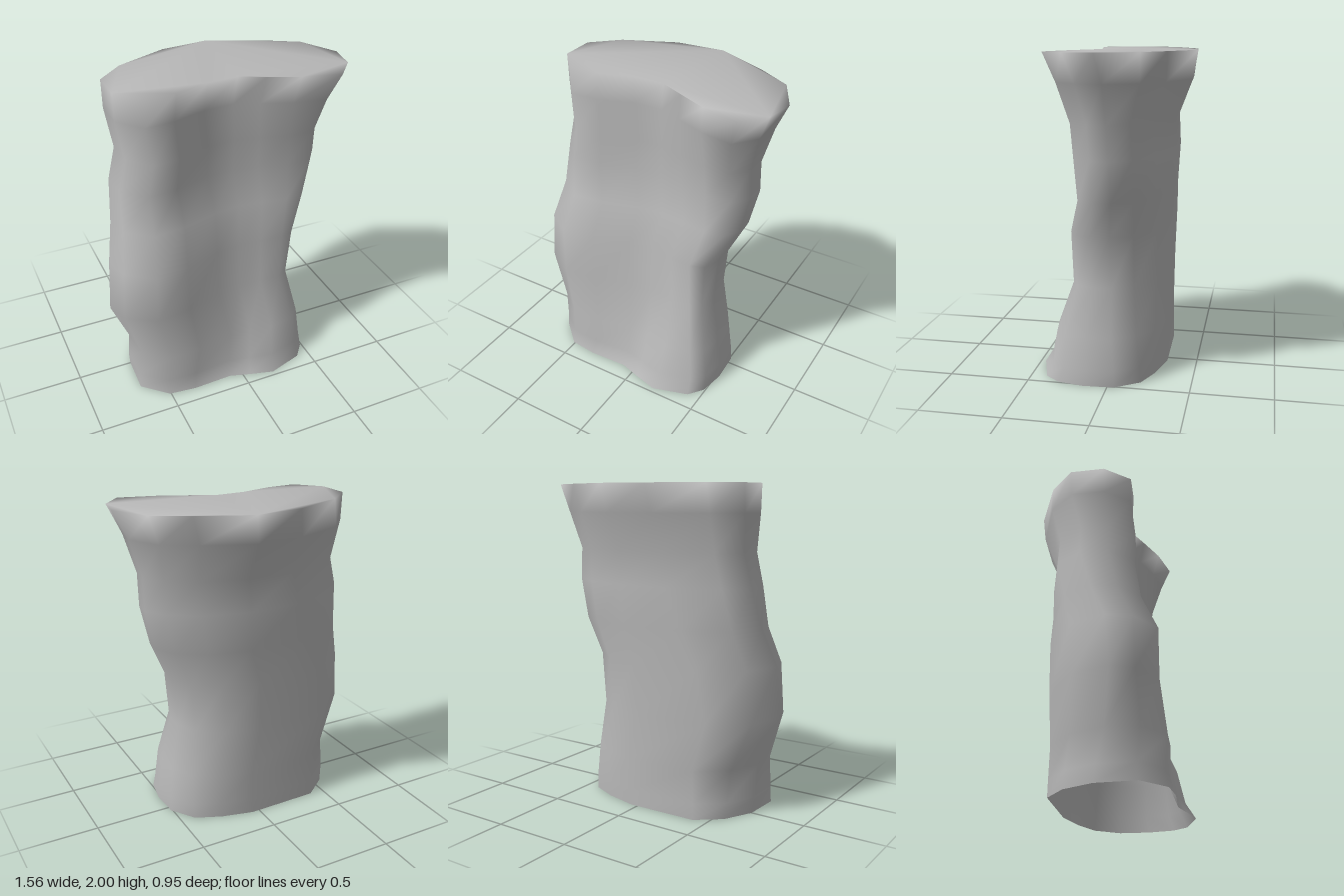
import * as THREE from 'three';

// Kidney-shaped cross-sections [x, z], bottom to top, all with matching corners
const SECTIONS = [
  [[.51, -.04], [.52, .15], [.49, .31], [.42, .4], [.2, .47], [.05, .43], [-.08, .39], [-.33, .4],
    [-.5, .38], [-.65, .24], [-.64, 0], [-.55, -.18], [-.4, -.3], [.05, -.31], [.25, -.26], [.41, -.19]],
  [[.43, -.02], [.43, .1], [.4, .2], [.33, .24], [.2, .23], [.05, .23], [-.1, .25], [-.33, .32],
    [-.55, .35], [-.73, .24], [-.78, .1], [-.7, -.12], [-.48, -.3], [0, -.32], [.22, -.27], [.37, -.15]],
  [[.63, -.03], [.62, .08], [.54, .19], [.38, .19], [.2, .14], [.05, .11], [-.12, .12], [-.33, .19],
    [-.5, .21], [-.62, .07], [-.63, -.1], [-.52, -.25], [-.2, -.34], [.1, -.35], [.38, -.26], [.55, -.15]],
  [[.78, .01], [.75, .19], [.63, .33], [.4, .27], [.22, .19], [.07, .12], [-.12, .13], [-.33, .19],
    [-.52, .2], [-.65, .05], [-.65, -.16], [-.49, -.31], [-.17, -.45], [.13, -.48], [.45, -.34], [.66, -.22]],
];

// Levels: height, position along the sections, x range, z range
const LEVELS = [
  [0, 0, -.66, .52, -.31, .47],
  [.1, .2, -.66, .515, -.31, .41],
  [.3, .5, -.66, .49, -.31, .38],
  [.6, 1, -.78, .43, -.31, .35],
  [.92, 1.2, -.755, .46, -.325, .35],
  [1.15, 1.5, -.7, .57, -.335, .25],
  [1.4, 1.9, -.67, .63, -.355, .215],
  [1.6, 2, -.62, .63, -.35, .22],
  [1.83, 2.6, -.65, .7, -.45, .27],
  [2, 3, -.65, .78, -.48, .33],
];

// Blend two sections and fit the result to the level's x and z ranges
function ring([, t, x0, x1, z0, z1]) {
  const k = Math.min(Math.floor(t), SECTIONS.length - 2);
  const pts = SECTIONS[k].map((p, i) => p.map((v, a) => THREE.MathUtils.lerp(v, SECTIONS[k + 1][i][a], t - k)));
  const fit = (a, lo, hi) => {
    const vals = pts.map((p) => p[a]);
    const min = Math.min(...vals), max = Math.max(...vals);
    return vals.map((v) => THREE.MathUtils.mapLinear(v, min, max, lo, hi));
  };
  const xs = fit(0, x0, x1), zs = fit(1, z0, z1);
  return xs.map((x, i) => [x, zs[i]]);
}

export function createModel() {
  const rings = LEVELS.map(ring);
  const n = rings[0].length;
  const position = [], index = [];
  rings.forEach((r, j) => r.forEach(([x, z]) => position.push(x, LEVELS[j][0], z)));

  // Side wall, open at the bottom
  for (let j = 0; j < rings.length - 1; j++) {
    for (let i = 0; i < n; i++) {
      const a = j * n + i, b = j * n + (i + 1) % n;
      index.push(a, a + n, b, b, a + n, b + n);
    }
  }

  // Top cap, sharing the rim so the shading rolls over the edge
  const top = rings[rings.length - 1], base = (rings.length - 1) * n;
  const outline = top.map(([x, z]) => new THREE.Vector2(x, -z));
  for (const [a, b, c] of THREE.ShapeUtils.triangulateShape(outline, [])) {
    const ccw = THREE.ShapeUtils.area([outline[a], outline[b], outline[c]]) > 0;
    index.push(base + a, base + (ccw ? b : c), base + (ccw ? c : b));
  }

  const geometry = new THREE.BufferGeometry();
  geometry.setAttribute('position', new THREE.Float32BufferAttribute(position, 3));
  geometry.setIndex(index);
  geometry.computeVertexNormals();

  const grey = new THREE.MeshStandardMaterial({ color: 0xb8b8b8, side: THREE.DoubleSide });
  grey.name = 'grey';
  const body = new THREE.Mesh(geometry, grey);
  body.name = 'body';

  const model = new THREE.Group();
  model.name = 'curvedHollowColumn';
  model.add(body);
  return model;
}
